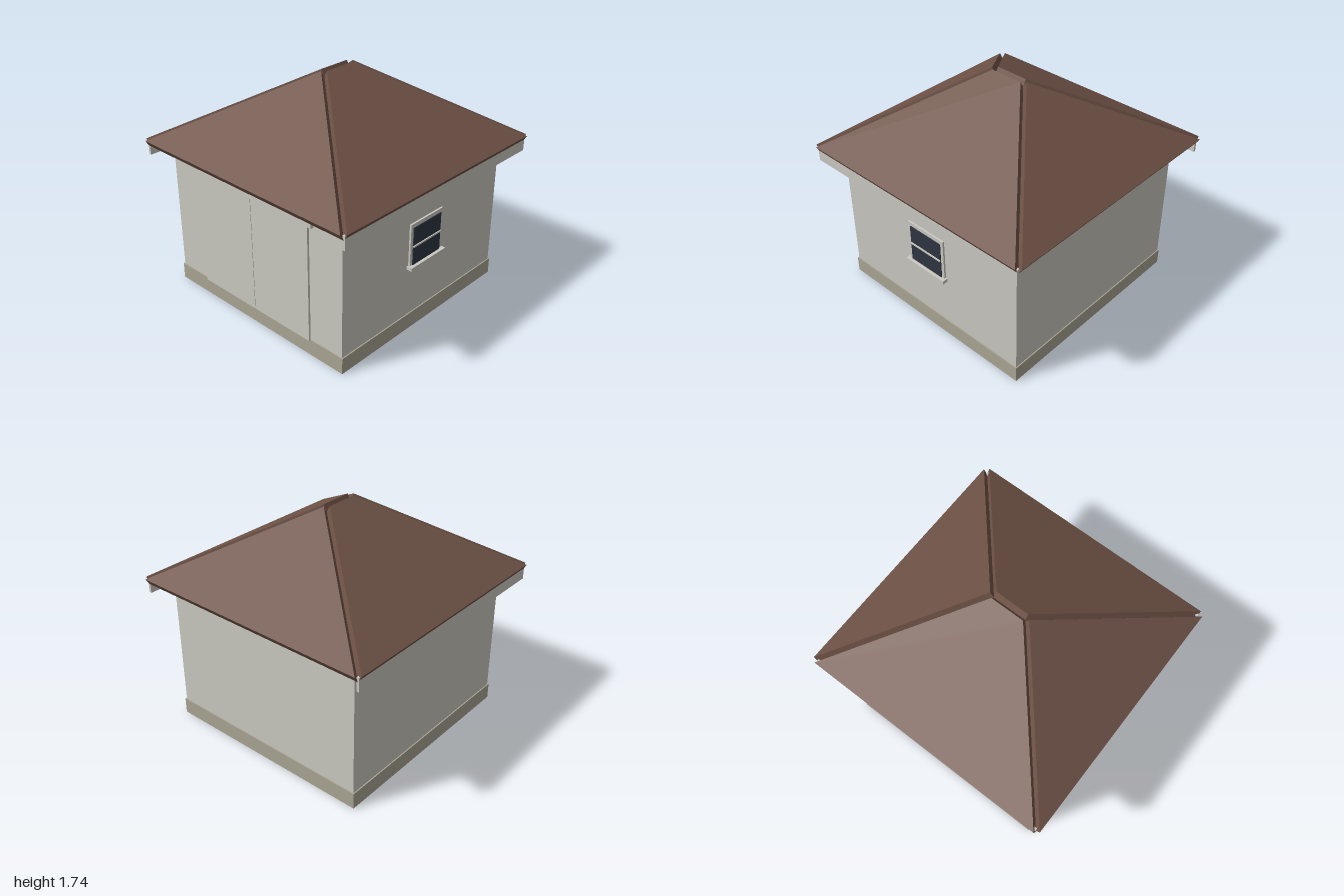
import * as THREE from 'three';

const material = (name, color, side = THREE.FrontSide) => {
  const m = new THREE.MeshStandardMaterial({ color, side });
  m.name = name;
  return m;
};

// Slab from a planar counter-clockwise outline, thickened along its normal
function slab(points, thickness) {
  const base = points.map((p) => new THREE.Vector3(...p));
  const normal = new THREE.Triangle(base[0], base[1], base[2]).getNormal(new THREE.Vector3());
  const top = base.map((p) => p.clone().addScaledVector(normal, thickness));
  const n = base.length;
  const tris = [];
  for (let i = 1; i < n - 1; i++) {
    tris.push(top[0], top[i], top[i + 1], base[0], base[i + 1], base[i]);
  }
  for (let i = 0; i < n; i++) {
    const j = (i + 1) % n;
    tris.push(base[i], base[j], top[j], base[i], top[j], top[i]);
  }
  const geometry = new THREE.BufferGeometry().setFromPoints(tris);
  geometry.computeVertexNormals();
  return geometry;
}

export function createModel() {
  const model = new THREE.Group();
  model.name = 'garage';

  const wallPaint = material('wall paint', 0xcbc9c1);
  const concrete = material('concrete', 0xaaa594);
  const roofing = material('brown roofing', 0x6e5246);
  const glass = material('dark glass', 0x2e3542);

  // Box given by its lower and upper limits on each axis
  const box = (name, mat, [x0, x1], [y0, y1], [z0, z1], parent = model) => {
    const mesh = new THREE.Mesh(new THREE.BoxGeometry(x1 - x0, y1 - y0, z1 - z0), mat);
    mesh.position.set((x0 + x1) / 2, (y0 + y1) / 2, (z0 + z1) / 2);
    mesh.name = name;
    parent.add(mesh);
  };

  // Body
  box('foundation', concrete, [-0.847, 0.847], [0, 0.125], [-0.848, 0.848]);
  box('walls', wallPaint, [-0.838, 0.838], [0.125, 1.2], [-0.84, 0.84]);

  // Double door with header
  box('rightDoor', wallPaint, [-0.545, -0.002], [0.117, 1.025], [0.83, 0.856]);
  box('leftDoor', wallPaint, [0.002, 0.545], [0.117, 1.025], [0.83, 0.856]);
  box('doorHeader', wallPaint, [-0.59, 0.59], [1.025, 1.07], [0.83, 0.868]);

  // Side window
  const window = new THREE.Group();
  window.name = 'window';
  model.add(window);
  box('windowFrame', wallPaint, [0.83, 0.852], [0.535, 0.862], [-0.175, 0.175], window);
  box('windowPane', glass, [0.85, 0.858], [0.535, 0.832], [-0.15, 0.15], window);
  box('windowRail', wallPaint, [0.85, 0.866], [0.68, 0.692], [-0.15, 0.15], window);
  box('windowSill', wallPaint, [0.83, 0.882], [0.51, 0.536], [-0.19, 0.19], window);

  // Hip roof: four slabs meeting on their undersides, leaving open grooves on top
  const eave = 0.966, eaveY = 1.14, ridgeY = 1.692, ridgeZ = 0.13, thickness = 0.056;
  const hipGeometry = slab([[-eave, eaveY, eave], [eave, eaveY, eave], [0, ridgeY, ridgeZ]], thickness);
  const sideGeometry = slab(
    [[eave, eaveY, eave], [eave, eaveY, -eave], [0, ridgeY, -ridgeZ], [0, ridgeY, ridgeZ]], thickness);
  const panels = [
    ['frontRoof', hipGeometry, 0], ['backRoof', hipGeometry, Math.PI],
    ['leftRoof', sideGeometry, 0], ['rightRoof', sideGeometry, Math.PI],
  ];
  for (const [name, geometry, turn] of panels) {
    const mesh = new THREE.Mesh(geometry, roofing);
    mesh.rotation.y = turn;
    mesh.name = name;
    model.add(mesh);
  }

  // Fascia boards under the two side eaves
  box('leftFascia', wallPaint, [0.954, 0.975], [1.07, 1.172], [-0.966, 0.966]);
  box('rightFascia', wallPaint, [-0.975, -0.954], [1.07, 1.172], [-0.966, 0.966]);

  return model;
}
